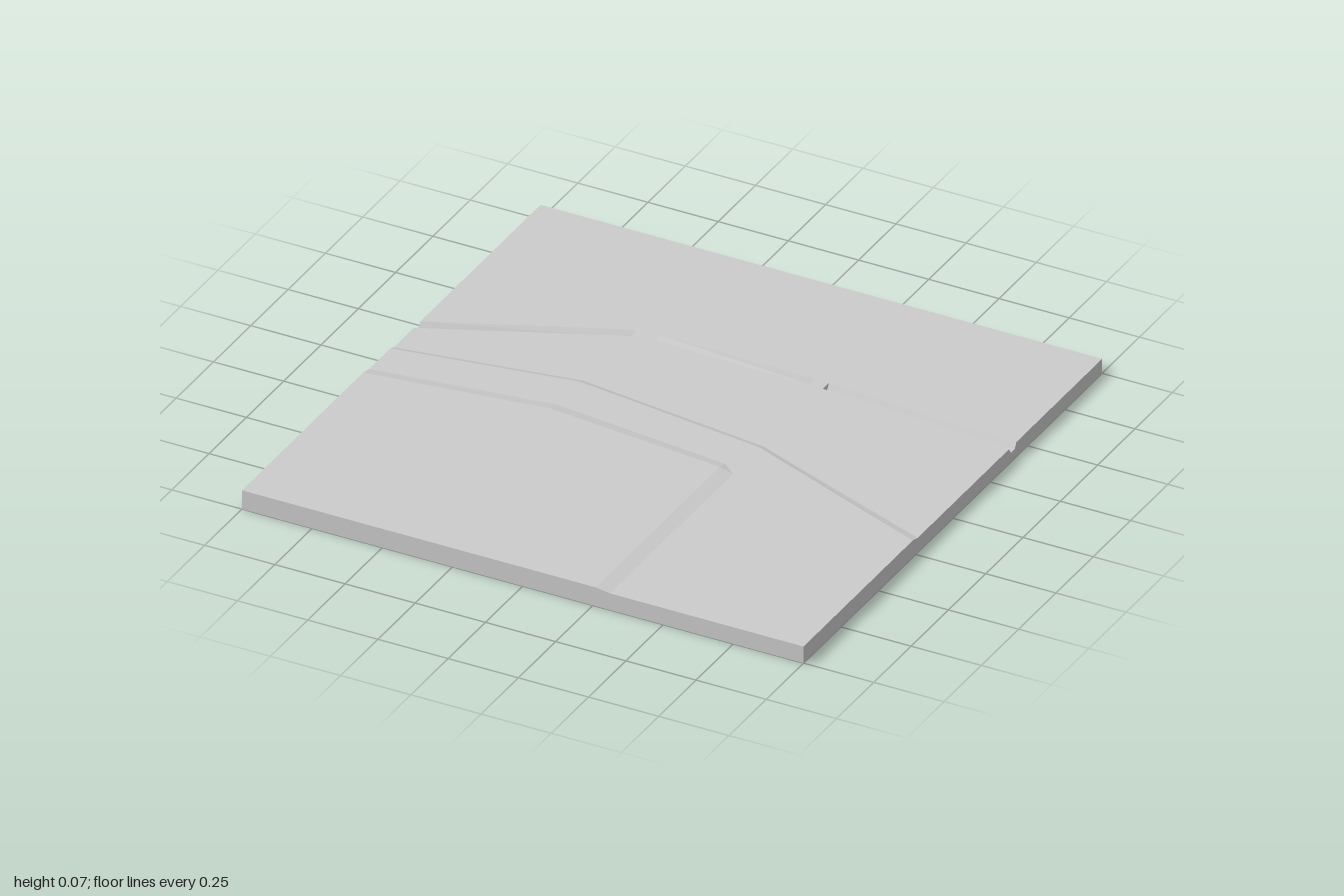
import * as THREE from 'three';

const GROUND = 0.053, TERRACE = 0.061, PLATEAU = 0.069, DITCH = 0.034;

// Cross-sections along x: z of the ditch (back rim, back floor, front floor, front rim),
// z of the lower bank (foot, crest), z of the upper bank (foot, crest),
// then the height of the upper level and of the ditch floor.
const sections = [
  [-1, [-0.197, -0.182, -0.168, -0.152], [-0.017, 0.005], [0.148, 0.187], PLATEAU, DITCH],
  [-0.38, [-0.467, -0.448, -0.434, -0.425], [-0.117, -0.095], [0.062, 0.104], PLATEAU, DITCH],
  [-0.3, [-0.477, -0.462, -0.449, -0.439], [-0.107, -0.085], [0.071, 0.112], PLATEAU, DITCH],
  [0.26, [-0.468, -0.458, -0.438, -0.427], [-0.036, -0.013], [0.133, 0.169], PLATEAU, DITCH],
  // causeway across the ditch
  [0.26, [-0.468, -0.458, -0.438, -0.427], [-0.036, -0.013], [0.133, 0.169], PLATEAU, GROUND],
  [0.31, [-0.468, -0.458, -0.438, -0.427], [-0.029, -0.006], [0.14, 0.175], TERRACE, GROUND],
  [0.31, [-0.468, -0.458, -0.438, -0.427], [-0.029, -0.006], [0.14, 0.175], TERRACE, DITCH],
  [1, [-0.426, -0.415, -0.389, -0.376], [0.235, 0.268], [0.36, 0.4], TERRACE, DITCH],
];

// Surface line of one section from back to front
function surfaceLine([x, d, low, high, top, floor]) {
  return [
    [-1, GROUND], [d[0], GROUND], [d[1], floor], [d[2], floor], [d[3], GROUND],
    [low[0], GROUND], [low[1], TERRACE], [high[0], TERRACE], [high[1], top], [1, top],
  ].map(([z, y]) => new THREE.Vector3(x, y, z));
}

function terrainGeometry() {
  const positions = [];
  const tri = (a, b, c) => {
    const area = new THREE.Triangle(a, b, c).getArea();
    if (area > 1e-9) for (const p of [a, b, c]) positions.push(p.x, p.y, p.z);
  };
  const quad = (a, b, c, d) => { tri(a, b, c); tri(a, c, d); };
  const below = (p) => new THREE.Vector3(p.x, 0, p.z);
  const lines = sections.map(surfaceLine);

  // top, front, underside and back skinned from section to section
  const loops = lines.map((l) => [...l, below(l[l.length - 1]), below(l[0])]);
  for (let s = 0; s < loops.length - 1; s++) {
    const p = loops[s], q = loops[s + 1];
    for (let i = 0; i < p.length; i++) {
      const j = (i + 1) % p.length;
      quad(p[i], p[j], q[j], q[i]);
    }
  }

  // cut sides of the slab
  const first = lines[0], last = lines[lines.length - 1];
  for (let i = 0; i < first.length - 1; i++) {
    quad(below(last[i]), last[i], last[i + 1], below(last[i + 1]));
    quad(below(first[i + 1]), first[i + 1], first[i], below(first[i]));
  }

  const geometry = new THREE.BufferGeometry();
  geometry.setAttribute('position', new THREE.Float32BufferAttribute(positions, 3));
  geometry.computeVertexNormals();
  return geometry;
}

export function createModel() {
  const model = new THREE.Group();
  model.name = 'terrainTile';
  const material = new THREE.MeshStandardMaterial({ color: 0xcccccc, flatShading: true });
  const terrain = new THREE.Mesh(terrainGeometry(), material);
  terrain.name = 'terracedGroundWithDitch';
  model.add(terrain);
  return model;
}
